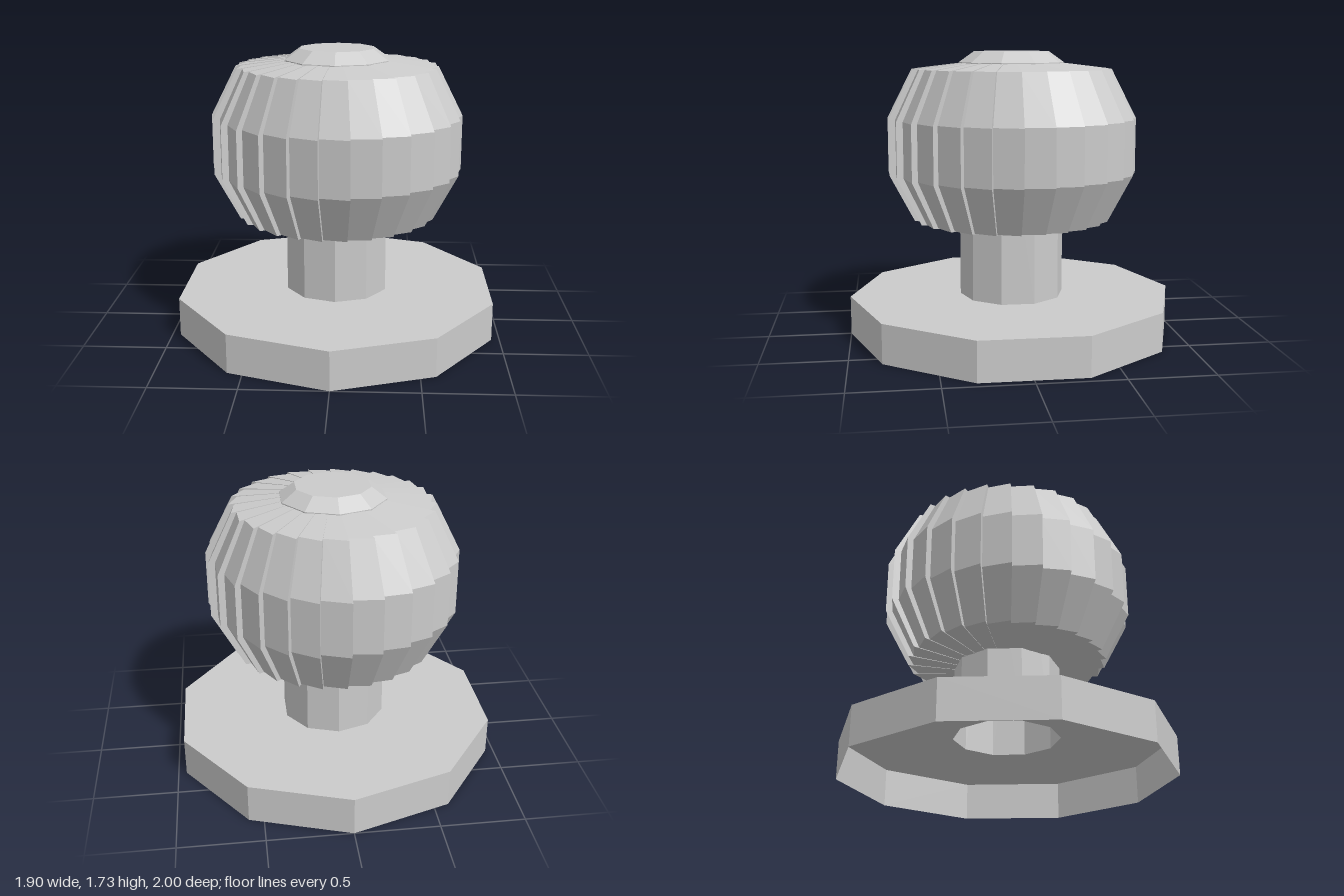
import * as THREE from 'three';

const material = new THREE.MeshStandardMaterial({
  color: 0xcccccc, flatShading: true, side: THREE.DoubleSide,
});

const toPoints = (list) => list.map(([r, y]) => new THREE.Vector2(r, y));

function addPart(group, name, geometry) {
  const mesh = new THREE.Mesh(geometry, material);
  mesh.name = name;
  group.add(mesh);
}

// Ten-sided turned part
const decagon = (profile) => new THREE.LatheGeometry(toPoints(profile), 10);

// Turned part whose slats each lean outwards, leaving a saw-tooth outline
function slattedLathe(profile, slats, inset, offset) {
  const geometry = new THREE.LatheGeometry(toPoints(profile), slats * 2);
  const pos = geometry.attributes.position;
  const step = (Math.PI * 2) / slats;
  for (let i = 0; i <= slats * 2; i++) {
    const angle = offset + Math.ceil(i / 2) * step;
    const scale = i % 2 ? 1 : inset;
    profile.forEach(([r, y], j) => {
      pos.setXYZ(i * profile.length + j,
        Math.sin(angle) * r * scale, y, Math.cos(angle) * r * scale);
    });
  }
  geometry.computeVertexNormals();
  return geometry;
}

export function createModel() {
  const group = new THREE.Group();
  group.name = 'knob';

  // Base plate: a shell open underneath, with a hole for the hollow stem
  addPart(group, 'basePlate', decagon([[1, 0], [1, 0.235], [0.32, 0.235]]));

  // Stem runs up through the grip
  addPart(group, 'stem', decagon([[0.32, 0.235], [0.32, 1.665]]));

  // Bevelled cap on top
  addPart(group, 'cap', decagon([[0.32, 1.665], [0.228, 1.73], [0, 1.73]]));

  // Round grip of overlapping slats
  addPart(group, 'grip', slattedLathe([
    [0.3, 0.68], [0.605, 0.715], [0.755, 1.0],
    [0.755, 1.33], [0.605, 1.625], [0.3, 1.662],
  ], 27, 0.945, THREE.MathUtils.degToRad(7.87)));

  return group;
}
